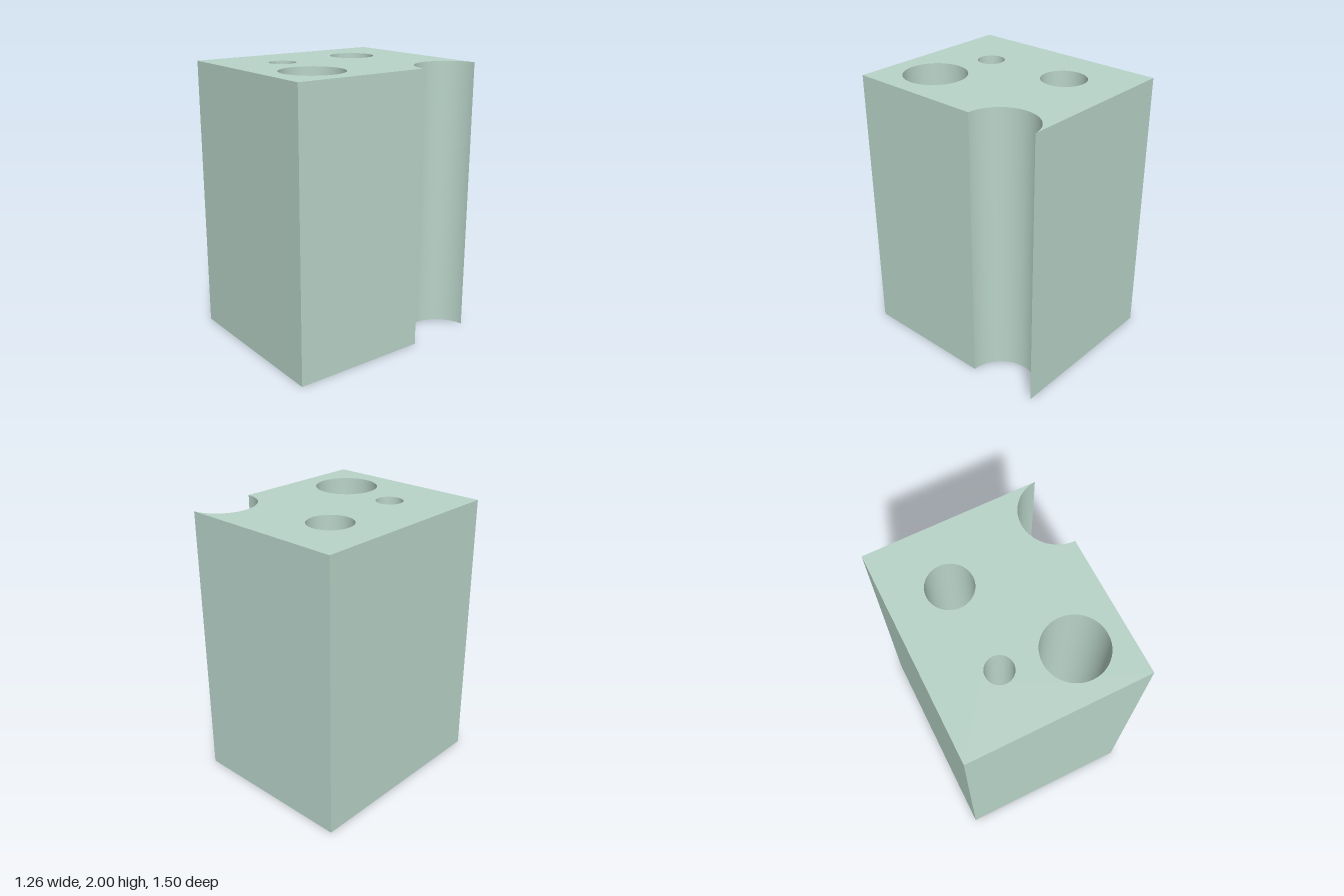
import * as THREE from 'three';
import { toCreasedNormals } from 'three/addons/utils/BufferGeometryUtils.js';

const HEIGHT = 2, HALF_X = 0.63, HALF_Z = 0.75;

// Round channel cut into the back left edge
const CHANNEL = { x: 0.629, z: -0.499, r: 0.2525 };

// Vertical through holes
const HOLES = [
  { x: -0.222, z: -0.31, r: 0.16 },
  { x: -0.19, z: 0.322, r: 0.096 },
  { x: 0.283, z: 0.402, r: 0.223 },
];

export function createModel() {
  const group = new THREE.Group();
  group.name = 'drilledBlock';

  // Plan outline, with shape y standing for -z
  const plan = new THREE.Shape();
  const tipAngle = Math.PI - Math.asin((HALF_Z + CHANNEL.z) / CHANNEL.r);
  const startAngle = -Math.acos((HALF_X - CHANNEL.x) / CHANNEL.r);
  plan.moveTo(-HALF_X, -HALF_Z);
  plan.lineTo(HALF_X, -HALF_Z);
  plan.absarc(CHANNEL.x, -CHANNEL.z, CHANNEL.r, startAngle, tipAngle, true);
  plan.lineTo(-HALF_X, HALF_Z);
  plan.closePath();

  for (const { x, z, r } of HOLES) {
    plan.holes.push(new THREE.Path().absarc(x, -z, r, 0, Math.PI * 2, true));
  }

  // Extrude upward, keeping curved walls smooth and edges sharp
  let geometry = new THREE.ExtrudeGeometry(plan, { depth: HEIGHT, bevelEnabled: false, curveSegments: 40 });
  geometry.rotateX(-Math.PI / 2);
  geometry = toCreasedNormals(geometry, Math.PI / 6);

  const block = new THREE.Mesh(geometry, new THREE.MeshStandardMaterial({ color: 0xb9d4c9 }));
  block.name = 'block';
  group.add(block);
  return group;
}
